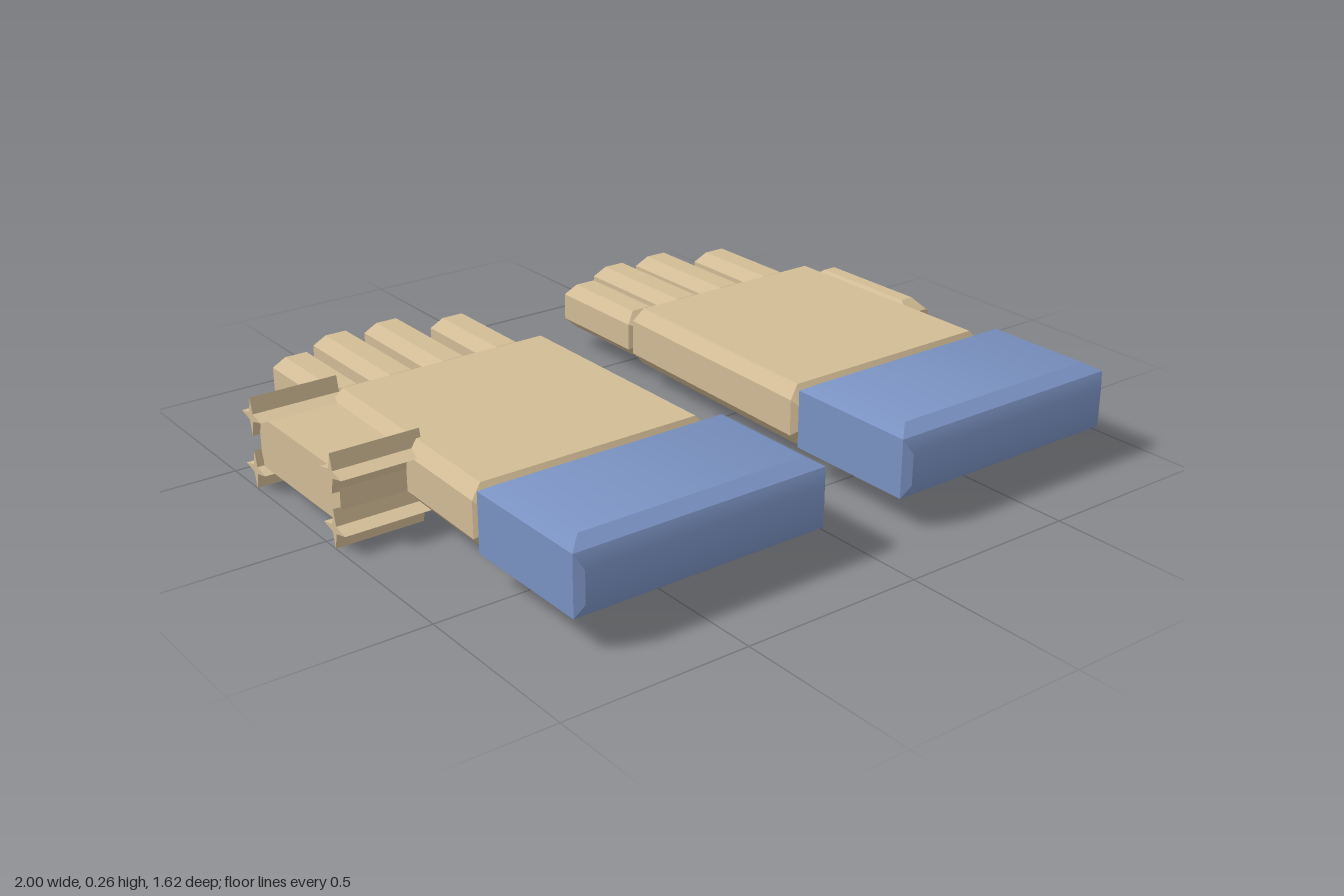
import * as THREE from 'three';
import { toCreasedNormals } from 'three/addons/utils/BufferGeometryUtils.js';
import { ConvexGeometry } from 'three/addons/geometries/ConvexGeometry.js';

const skin = new THREE.MeshStandardMaterial({ color: 0xd2bc96 });
skin.name = 'skin';
const sleeve = new THREE.MeshStandardMaterial({ color: 0x7a92c2 });
sleeve.name = 'sleeve';

// Softly chamfered block between two corners; the insets shrink its x, y and z faces.
function block(name, material, min, max, { x, y, z }, narrow = 0) {
  const c = min.map((v, i) => (v + max[i]) / 2);
  const h = min.map((v, i) => (max[i] - v) / 2);
  const points = [];
  for (const [ix, iy, iz] of [[0, ...x], [y[0], 0, y[1]], [...z, 0]])
    for (const sx of [-1, 1])
      for (const sy of [-1, 1])
        for (const sz of [-1, 1]) {
          const p = new THREE.Vector3(sx * (h[0] - ix), sy * (h[1] - iy), sz * (h[2] - iz));
          if (sx < 0 && sz < 0) p.x += narrow;
          points.push(p);
        }
  const mesh = new THREE.Mesh(toCreasedNormals(new ConvexGeometry(points), 0.55), material);
  mesh.position.set(...c);
  mesh.name = name;
  return mesh;
}

// Cuff, palm and four fingers
function hand(name) {
  const g = new THREE.Group();
  g.name = name;
  g.add(block('cuff', sleeve, [0.15, 0.06, 0.395], [0.87, 0.265, 0.81],
    { x: [0.023, 0.018], y: [0.04, 0.055], z: [0.02, 0.06] }));
  g.add(block('palm', skin, [0.165, 0.06, -0.375], [0.858, 0.23, 0.395],
    { x: [0.035, 0.03], y: [0.03, 0.04], z: [0.025, 0.06] }, 0.018));
  for (const [x, tip] of [[0.26, -0.73], [0.425, -0.81], [0.588, -0.81], [0.76, -0.73]])
    g.add(block('finger', skin, [x - 0.062, 0.06, tip], [x + 0.062, 0.197, -0.37],
      { x: [0.03, 0.018], y: [0.03, 0.038], z: [0.03, 0.04] }));
  return g;
}

// Boxy right thumb with flared fins along its four long edges
function finnedThumb() {
  const g = new THREE.Group();
  g.name = 'finnedThumb';
  const x0 = -1, length = 0.245;
  const core = new THREE.Mesh(new THREE.BoxGeometry(0.23, 0.14, 0.42), skin);
  core.position.set(-0.865, 0.13, -0.16);
  core.name = 'thumbCore';
  g.add(core);

  const star = new THREE.Shape();
  for (let i = 0; i < 8; i++) {
    const r = i % 2 ? 0.014 : 0.053, a = i * Math.PI / 4;
    star[i ? 'lineTo' : 'moveTo'](r * Math.cos(a), r * Math.sin(a));
  }
  const fin = new THREE.ExtrudeGeometry(star, { depth: length, bevelEnabled: false });
  fin.rotateY(Math.PI / 2);
  for (const y of [0.053, 0.2])
    for (const z of [-0.371, 0.048]) {
      const mesh = new THREE.Mesh(fin, skin);
      mesh.position.set(x0, y, z);
      mesh.name = 'thumbFin';
      g.add(mesh);
    }
  return g;
}

export function createModel() {
  const model = new THREE.Group();
  model.name = 'pairOfHands';

  const left = hand('leftHand');
  left.add(block('thumb', skin, [0.86, 0.06, -0.375], [1, 0.2, 0.045],
    { x: [0.045, 0.018], y: [0.05, 0.04], z: [0.03, 0.03] }));

  const right = hand('rightHand');
  right.position.x = -0.97;

  model.add(left, right, finnedThumb());
  return model;
}
